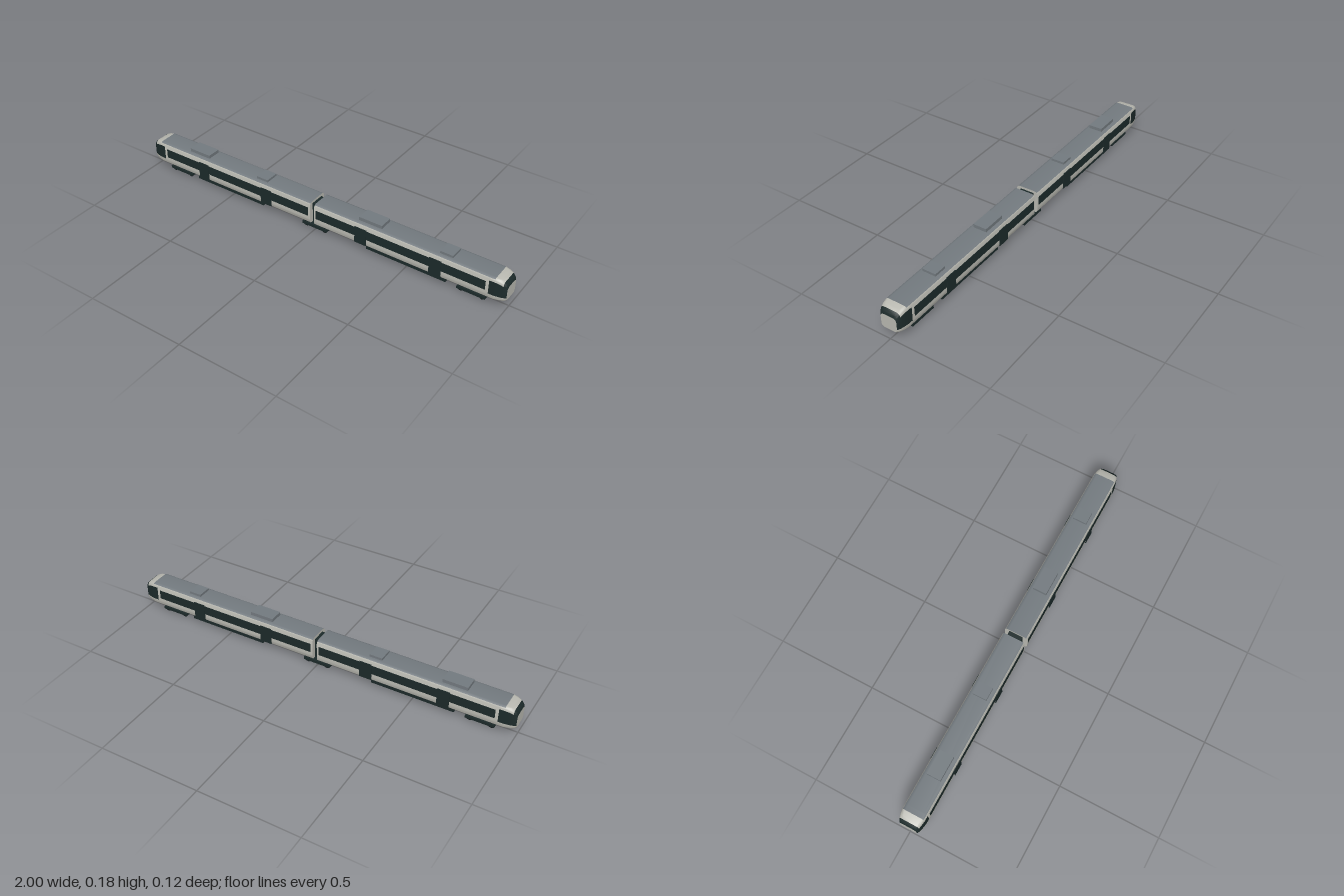
import * as THREE from 'three';
import { toCreasedNormals } from 'three/addons/utils/BufferGeometryUtils.js';

const mat = (name, color) => {
  const m = new THREE.MeshStandardMaterial({ color });
  m.name = name;
  return m;
};

export function createModel() {
  const light = mat('light grey paint', 0xb9b9b1);
  const roof = mat('roof grey', 0x737a7f);
  const dark = mat('dark glass', 0x1c2a2a);
  const black = mat('wheel black', 0x12181a);

  const train = new THREE.Group();
  train.name = 'train';

  const box = (parent, name, m, x0, x1, y0, y1, z0, z1) => {
    const mesh = new THREE.Mesh(new THREE.BoxGeometry(x1 - x0, y1 - y0, z1 - z0), m);
    mesh.position.set((x0 + x1) / 2, (y0 + y1) / 2, (z0 + z1) / 2);
    mesh.name = name;
    parent.add(mesh);
  };

  // Body sections along the car: x, half width, bottom, top
  const sections = [
    [0.012, 0.058, 0.043, 0.16],
    [0.92, 0.058, 0.043, 0.16],
    [0.945, 0.0575, 0.043, 0.16],
    [0.968, 0.054, 0.045, 0.156],
    [0.984, 0.05, 0.047, 0.149],
    [0.996, 0.045, 0.05, 0.139],
    [1.0, 0.041, 0.053, 0.125],
  ];
  const N = 4; // steps per rounded corner
  const RB = 0.015, RT = 0.018;

  // Half outline from bottom to top, then mirrored to a closed ring
  const ring = ([x, w, yb, yt]) => {
    const half = [];
    for (let i = 0; i <= N; i++) {
      const a = (i / N) * Math.PI / 2;
      half.push([w - RB + RB * Math.sin(a), yb + RB - RB * Math.cos(a)]);
    }
    half.push([w, 0.07]);
    for (let i = 0; i <= N; i++) {
      const a = (i / N) * Math.PI / 2;
      half.push([w - RT + RT * Math.cos(a), yt - RT + RT * Math.sin(a)]);
    }
    const other = half.map(([z, y]) => [-z, y]).reverse();
    return [...half, ...other].map(([z, y]) => new THREE.Vector3(x, y, z));
  };
  const rings = sections.map(ring);
  const count = rings[0].length, halfCount = count / 2;

  // Paint of each strip of the shell
  const paint = (i, j) => {
    const k = j < halfCount ? j : count - 2 - j; // mirrored strip number
    if (j === halfCount - 1) return i < 2 ? roof : i < 4 ? light : dark;
    if (j === count - 1 || k <= N) return light;
    if (k === N + 1) return i >= 1 ? dark : light;
    if (i >= 4) return dark;
    return i < 2 && k >= N + 4 ? roof : light;
  };

  const buildShell = () => {
    const faces = new Map([[light, []], [roof, []], [dark, []]]);
    const tri = (m, ...pts) => pts.forEach((p) => faces.get(m).push(p));
    for (let i = 0; i < rings.length - 1; i++) {
      for (let j = 0; j < count; j++) {
        const n = (j + 1) % count, m = paint(i, j);
        const a = rings[i][j], b = rings[i][n], c = rings[i + 1][n], d = rings[i + 1][j];
        tri(m, a, d, c);
        tri(m, a, c, b);
      }
    }
    // Flat ends: inner wall and nose panel
    const first = rings[0], last = rings[rings.length - 1];
    const inner = new THREE.Vector3(0.012, 0.1, 0), tip = new THREE.Vector3(1, 0.09, 0);
    for (let j = 0; j < count; j++) {
      const n = (j + 1) % count;
      tri(light, inner, first[j], first[n]);
      tri(light, tip, last[n], last[j]);
    }
    const shell = new THREE.Group();
    shell.name = 'bodyShell';
    const names = new Map([[light, 'bodyPanels'], [roof, 'roofSkin'], [dark, 'cabGlass']]);
    for (const [m, pts] of faces) {
      const g = toCreasedNormals(new THREE.BufferGeometry().setFromPoints(pts), 0.6);
      const mesh = new THREE.Mesh(g, m);
      mesh.name = names.get(m);
      shell.add(mesh);
    }
    return shell;
  };

  // One car; the other is the same car turned round
  for (const turn of [0, Math.PI]) {
    const car = new THREE.Group();
    car.name = turn ? 'rightCar' : 'leftCar';
    car.rotation.y = turn;
    car.add(buildShell());
    for (const s of [-1, 1]) {
      const plate = (name, x0, x1, y0, y1, out) =>
        box(car, name, dark, x0, x1, y0, y1, Math.min(s * 0.056, s * out), Math.max(s * 0.056, s * out));
      plate('windowBand', 0.022, 0.905, 0.084, 0.131, 0.0592);
      plate('door', 0.24, 0.302, 0.05, 0.136, 0.0615);
      plate('door', 0.63, 0.69, 0.05, 0.136, 0.0615);
    }
    box(car, 'underfloorBox', dark, 0.297, 0.712, 0.024, 0.044, -0.047, 0.047);
    train.add(car);
  }

  // Roof units, repeated in the same order on both cars
  for (const x of [-0.702, 0.308]) {
    box(train, 'largeRoofUnit', roof, x - 0.061, x + 0.061, 0.155, 0.177, -0.035, 0.035);
    box(train, 'smallRoofUnit', roof, x + 0.36, x + 0.424, 0.155, 0.172, -0.035, 0.035);
  }

  // Gangway between the cars
  box(train, 'gangway', dark, -0.014, 0.014, 0.047, 0.148, -0.035, 0.035);

  // Bogies: a frame and two wheelsets each
  for (const x of [-0.833, 0, 0.833]) {
    const bogie = new THREE.Group();
    bogie.name = 'bogie';
    bogie.position.x = x;
    box(bogie, 'bogieFrame', dark, -0.07, 0.07, 0.012, 0.026, -0.04, 0.04);
    for (const wx of [-0.052, 0.052]) {
      const wheel = new THREE.Mesh(new THREE.CylinderGeometry(0.016, 0.016, 0.064, 16), black);
      wheel.name = 'wheelset';
      wheel.rotation.x = Math.PI / 2;
      wheel.position.set(wx, 0.016, 0);
      bogie.add(wheel);
    }
    train.add(bogie);
  }
  return train;
}
